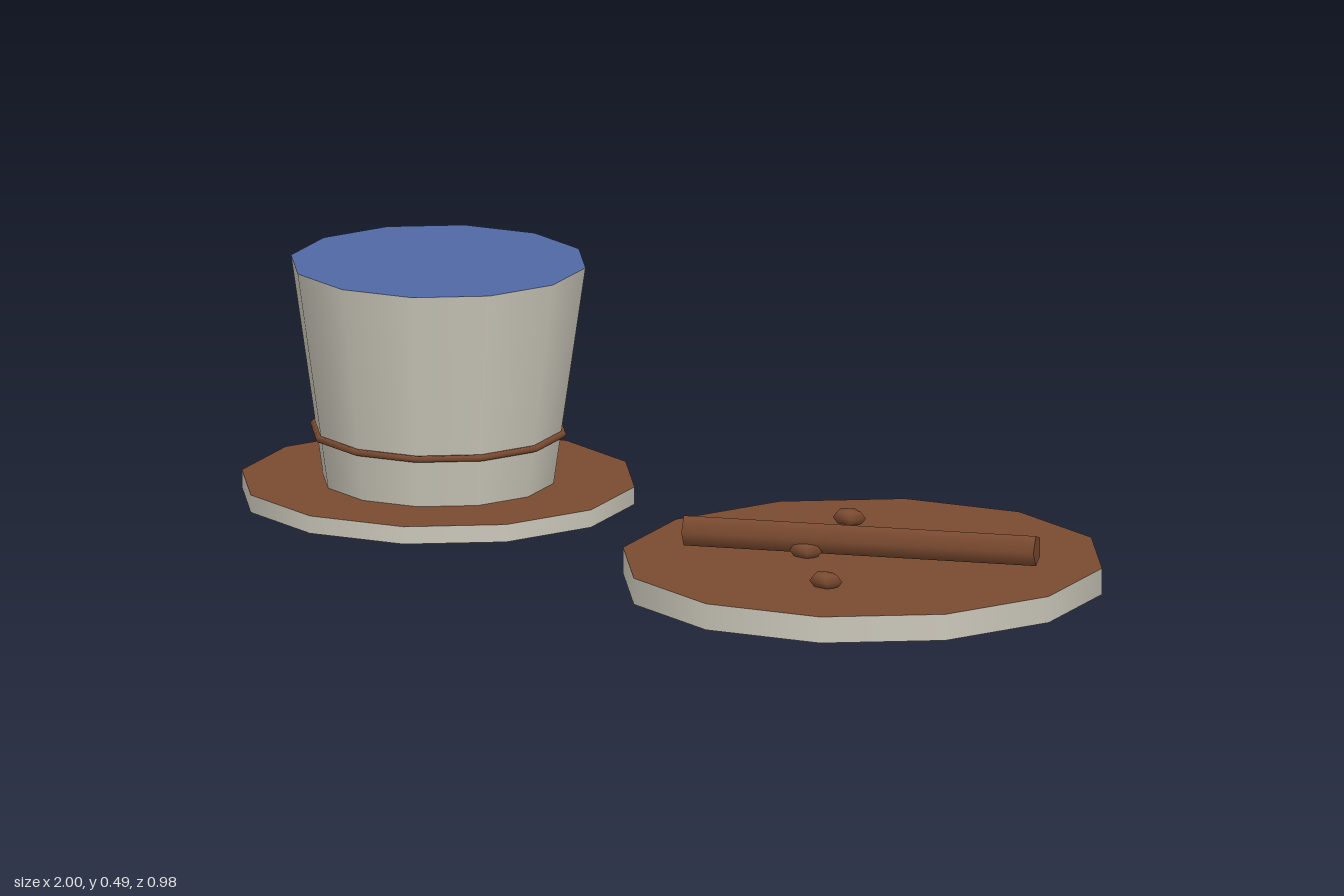
import * as THREE from 'three';

export function createModel() {
  const clay = new THREE.MeshStandardMaterial({ name: 'paleStone', color: 0xcbc7ba });
  const brown = new THREE.MeshStandardMaterial({ name: 'brown', color: 0x7a4a30 });
  const blue = new THREE.MeshStandardMaterial({ name: 'blue', color: 0x5068a4 });

  const model = new THREE.Group();
  model.name = 'cupAndPlate';

  const add = (parent, name, geometry, material, x, y, z) => {
    const mesh = new THREE.Mesh(geometry, material);
    mesh.name = name;
    mesh.position.set(x, y, z);
    parent.add(mesh);
    return mesh;
  };

  // Twelve-sided disc standing on y0, with its own colour on the top face
  const drum = (parent, name, rTop, rBottom, y0, y1, top) =>
    add(parent, name, new THREE.CylinderGeometry(rTop, rBottom, y1 - y0, 12),
      [clay, top, clay], 0, (y0 + y1) / 2, 0);

  // Cup on its saucer
  const cup = new THREE.Group();
  cup.name = 'cupWithSaucer';
  cup.position.x = -0.6;
  model.add(cup);
  drum(cup, 'saucer', 0.4, 0.4, 0, 0.036, brown);
  drum(cup, 'cupBody', 0.3, 0.235, 0.036, 0.485, blue);
  add(cup, 'liquid', new THREE.CylinderGeometry(0.265, 0.265, 0.008, 12), blue, 0, 0.418, 0);
  const band = new THREE.TorusGeometry(0.254, 0.007, 6, 12);
  band.rotateX(Math.PI / 2);
  add(cup, 'cupBand', band, brown, 0, 0.139, 0);

  // Plate with a stick and crumbs
  const plate = new THREE.Group();
  plate.name = 'plateWithStick';
  plate.position.x = 0.512;
  model.add(plate);
  drum(plate, 'plate', 0.488, 0.488, 0, 0.054, brown);

  const stick = add(plate, 'stick', new THREE.CylinderGeometry(0.0325, 0.0325, 0.726, 5),
    brown, -0.004, 0.091, 0);
  stick.rotation.set(0, 0.466, Math.PI / 2);

  // Flattened five-sided crumbs
  const crumb = new THREE.SphereGeometry(1, 5, 4);
  crumb.rotateY(-Math.PI / 2);
  crumb.scale(0.039, 0.018, 0.028);
  [[-0.202, -0.198], [-0.097, 0.063], [0.093, 0.226]].forEach(([x, z], i) =>
    add(plate, 'crumb' + (i + 1), crumb, brown, x, 0.067, z));

  return model;
}
